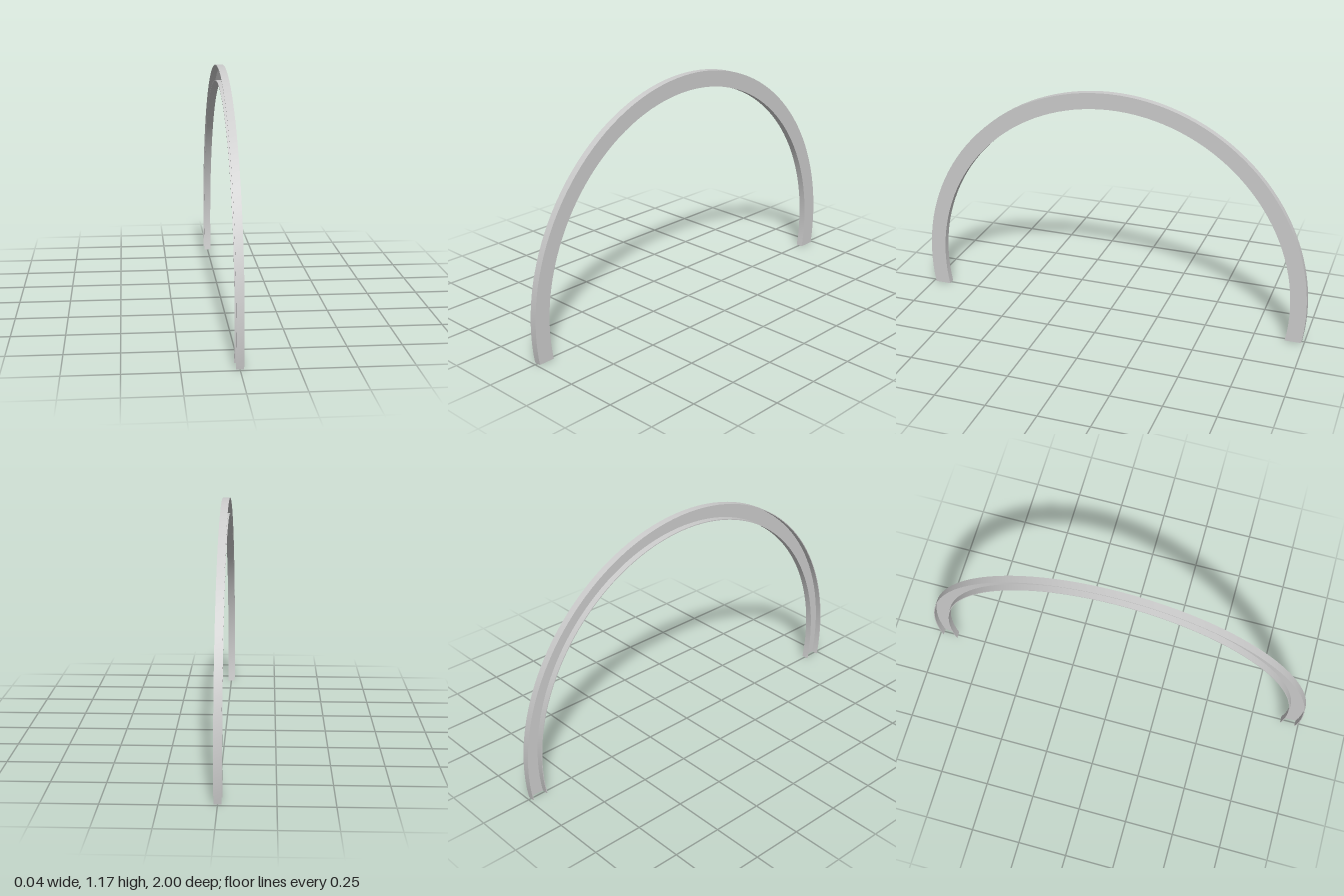
import * as THREE from 'three';
import { toCreasedNormals } from 'three/addons/utils/BufferGeometryUtils.js';

const OUTER = 1, INNER = 0.92;   // arch radii
const CENTER_Y = 0.167;          // arch centre above the ground
const HALF = 0.0175;             // half width along x
const WALL = 0.004;              // sheet thickness
const SEGMENTS = 72;

// U-shaped channel section as [radius, x], open towards -x
const section = [
  [OUTER, HALF], [OUTER, -HALF], [OUTER - WALL, -HALF], [OUTER - WALL, HALF - WALL],
  [INNER + WALL, HALF - WALL], [INNER + WALL, -HALF], [INNER, -HALF], [INNER, HALF],
];

// Sweeps the section along the arch; each radius runs down to exactly y = 0
function channelArch() {
  const n = section.length, positions = [], index = [];
  for (let i = 0; i <= SEGMENTS; i++) {
    for (const [r, x] of section) {
      const below = Math.asin(CENTER_Y / r);
      const a = -below + (Math.PI + 2 * below) * i / SEGMENTS;
      positions.push(x, CENTER_Y + r * Math.sin(a), r * Math.cos(a));
    }
  }
  for (let i = 0; i < SEGMENTS; i++) {
    for (let j = 0; j < n; j++) {
      const k = (j + 1) % n, a = i * n, b = a + n;
      index.push(a + j, b + j, a + k, b + j, b + k, a + k);
    }
  }
  // end caps: two flanges and the web
  const last = SEGMENTS * n;
  for (const [a, b, c, d] of [[0, 1, 2, 3], [0, 3, 4, 7], [7, 4, 5, 6]]) {
    index.push(a, b, c, a, c, d);
    index.push(last + a, last + c, last + b, last + a, last + d, last + c);
  }
  const geometry = new THREE.BufferGeometry();
  geometry.setAttribute('position', new THREE.Float32BufferAttribute(positions, 3));
  geometry.setIndex(index);
  return toCreasedNormals(geometry, 0.6);
}

export function createModel() {
  const group = new THREE.Group();
  group.name = 'arch';
  const material = new THREE.MeshStandardMaterial({ color: 0xcccccc, side: THREE.DoubleSide });
  const arch = new THREE.Mesh(channelArch(), material);
  arch.name = 'channelArch';
  group.add(arch);
  return group;
}
